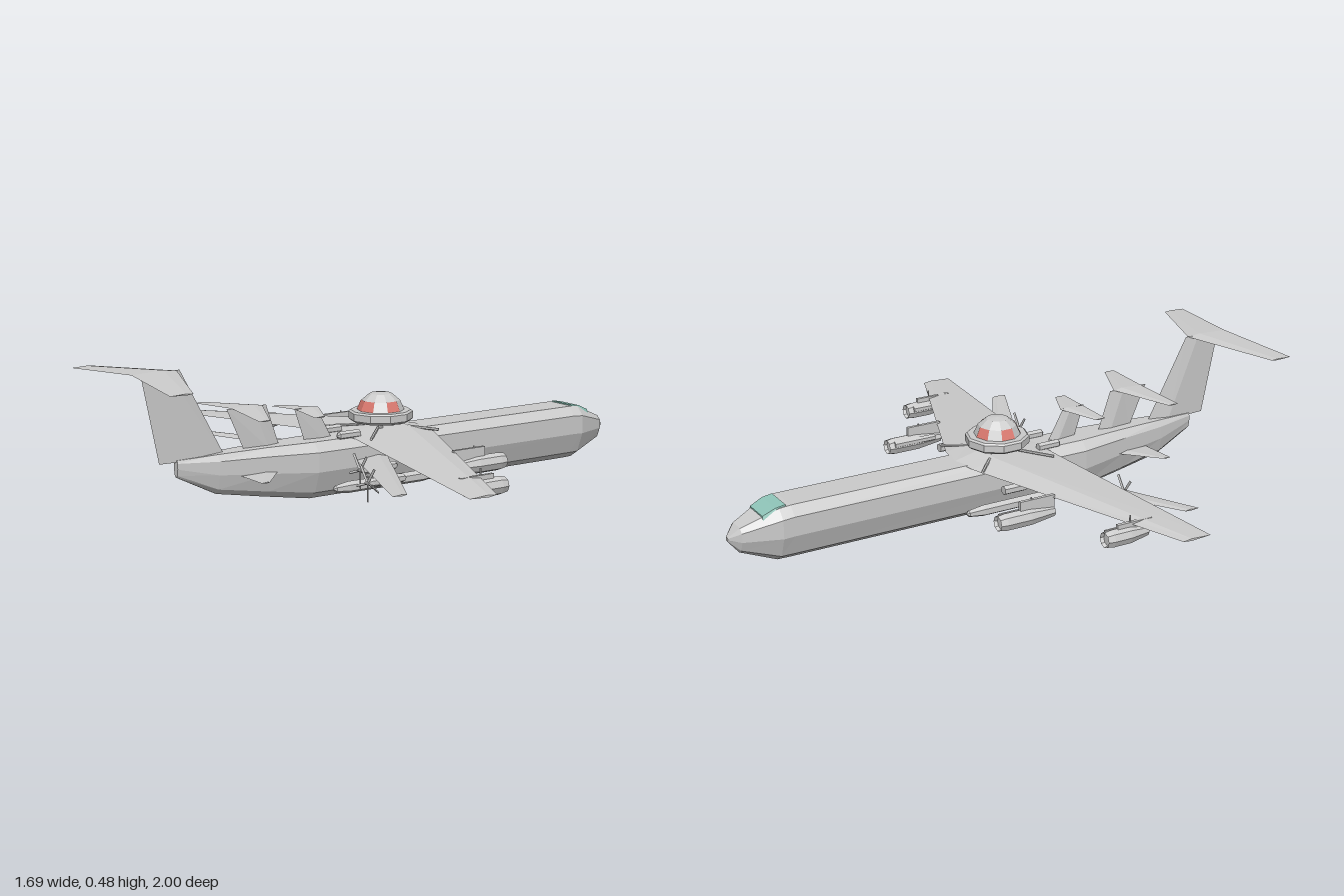
import * as THREE from 'three';

const mat = (color, side = THREE.FrontSide) =>
  new THREE.MeshStandardMaterial({ color, flatShading: true, side });
const grey = mat(0xcccccc);
const glass = mat(0x8fc4b8);
const red = mat(0xdd7a70, THREE.DoubleSide);

// Closed skin through a list of equal-sized rings, turned to face outwards
function loft(rings) {
  const tris = [], n = rings[0].length;
  for (let i = 0; i + 1 < rings.length; i++) {
    for (let j = 0; j < n; j++) {
      const k = (j + 1) % n, a = rings[i], b = rings[i + 1];
      tris.push([a[j], a[k], b[k]], [a[j], b[k], b[j]]);
    }
  }
  const first = rings[0], last = rings[rings.length - 1];
  for (let j = 1; j + 1 < n; j++) {
    tris.push([first[0], first[j + 1], first[j]], [last[0], last[j], last[j + 1]]);
  }
  let volume = 0;
  const v = p => new THREE.Vector3(...p);
  for (const [a, b, c] of tris) volume += v(a).dot(v(b).cross(v(c)));
  if (volume < 0) tris.forEach(t => t.reverse());
  const geo = new THREE.BufferGeometry();
  geo.setAttribute('position', new THREE.Float32BufferAttribute(tris.flat(2), 3));
  geo.computeVertexNormals();
  return geo;
}

// Hull ring: half width, bottom, top
function hullRing([z, w, y0, y1]) {
  const half = [[0.66, 1], [1, 0.84], [1, 0.5], [0.7, 0.13], [0.28, 0]];
  const both = [...half, ...half.slice().reverse().map(([x, y]) => [-x, y])];
  return both.map(([x, y]) => [x * w, y0 + y * (y1 - y0), z]);
}

// Horizontal surface; stations are [x, y, leading z, trailing z, thickness]
function wing(stations, side) {
  return loft(stations.map(([x, y, l, t, h]) => [
    [x * side, y, l], [x * side, y + h / 2, l + (t - l) * 0.3],
    [x * side, y, t], [x * side, y - h / 2, l + (t - l) * 0.3]]));
}

// Upright surface; stations are [y, leading z, trailing z, thickness]
function fin(stations) {
  return loft(stations.map(([y, l, t, h]) => [
    [0, y, l], [h / 2, y, l + (t - l) * 0.35], [0, y, t], [-h / 2, y, l + (t - l) * 0.35]]));
}

// Round body along z from [radius, z] pairs
function spindle(profile, sides = 8) {
  const pts = profile.map(([r, z]) => new THREE.Vector2(r, z));
  return new THREE.LatheGeometry(pts, sides).rotateX(Math.PI / 2);
}

function rod(a, b, r) {
  const p = new THREE.Vector3(...a), q = new THREE.Vector3(...b), d = q.clone().sub(p);
  const geo = new THREE.CylinderGeometry(r, r, d.length(), 6);
  geo.applyQuaternion(new THREE.Quaternion().setFromUnitVectors(
    new THREE.Vector3(0, 1, 0), d.normalize()));
  return geo.translate(...p.add(q).multiplyScalar(0.5).toArray());
}

export function createModel() {
  const model = new THREE.Group();
  model.name = 'aircraft';
  const add = (name, geo, material = grey, parent = model) => {
    const mesh = new THREE.Mesh(geo, material);
    mesh.name = name;
    parent.add(mesh);
    return mesh;
  };

  // Fuselage, nose at -z
  add('fuselage', loft([
    [-1, 0.008, 0.092, 0.106], [-0.965, 0.043, 0.05, 0.14], [-0.84, 0.088, 0.001, 0.192],
    [-0.8, 0.088, 0, 0.196], [0.31, 0.086, 0, 0.196], [0.48, 0.063, 0.028, 0.196],
    [0.66, 0.038, 0.06, 0.192], [0.8, 0.012, 0.13, 0.186]].map(hullRing)));
  add('windscreen', loft([[-0.895, 0.057, 0.174], [-0.85, 0.062, 0.194], [-0.815, 0.062, 0.199]]
    .map(([z, w, y]) => [[w * 0.85, y, z], [w, y - 0.022, z], [-w, y - 0.022, z], [-w * 0.85, y, z]])), glass);

  // Three T-tails, growing towards the rear
  const tails = [
    { fin: [[0.185, 0.2, 0.31, 0.02], [0.302, 0.265, 0.35, 0.01]],
      stab: [[0, 0.3, 0.255, 0.345, 0.008], [0.13, 0.293, 0.315, 0.355, 0.004]] },
    { fin: [[0.185, 0.41, 0.545, 0.022], [0.33, 0.46, 0.61, 0.012]],
      stab: [[0, 0.33, 0.475, 0.59, 0.01], [0.2, 0.32, 0.57, 0.61, 0.004]] },
    { fin: [[0.18, 0.62, 0.86, 0.026], [0.476, 0.78, 0.92, 0.014]],
      stab: [[0, 0.474, 0.79, 0.95, 0.012], [0.32, 0.459, 0.915, 0.995, 0.005]] },
  ];
  for (const t of tails) {
    add('tailFin', fin(t.fin));
    for (const s of [-1, 1]) add('tailplane', wing(t.stab, s));
  }

  // Everything mirrored left and right
  for (const s of [-1, 1]) {
    add('mainWing', wing([[0, 0.196, -0.165, 0.16, 0.045], [0.09, 0.193, -0.15, 0.165, 0.04],
      [0.845, 0.15, 0.175, 0.28, 0.008]], s));
    add('lowerWing', wing([[0.03, 0.12, 0, 0.135, 0.02], [0.62, 0.131, 0.345, 0.4, 0.006]], s));
    add('lowerTailplane', wing([[0.03, 0.115, 0.43, 0.585, 0.012], [0.185, 0.118, 0.565, 0.595, 0.004]], s));

    // Landing gear pod
    add('gearPod', spindle([[0, -0.175], [0.012, -0.165], [0.02, -0.11], [0.02, 0.2],
      [0.012, 0.25], [0, 0.26]], 6)).position.set(0.092 * s, 0.036, 0);

    // Twin-tube jets under the main wing
    for (const [x, z, len, wingY] of [[0.385, -0.225, 0.21, 0.178], [0.665, 0, 0.16, 0.162]]) {
      const jet = new THREE.Group();
      jet.name = 'jetEngine';
      jet.position.set(x * s, 0.125, z);
      add('nacelle', spindle([[0, 0.012], [0.022, 0.012], [0.026, 0], [0.03, 0.025],
        [0.03, len * 0.55], [0.018, len], [0, len - 0.015]]), grey, jet);
      add('sideTube', spindle([[0, 0.02], [0.012, 0.02], [0.012, len * 0.85], [0, len * 0.85]], 6), grey, jet)
        .position.set(-0.022 * s, 0.012, 0);
      add('pylon', new THREE.BoxGeometry(0.012, wingY - 0.125, 0.13), grey, jet)
        .position.set(0, (wingY - 0.125) / 2 + 0.006, len * 0.7);
      add('mast', rod([0, 0, len * 0.6], [0, 0.065, len * 0.6], 0.003), grey, jet);
      model.add(jet);
    }

    // Propeller pods on the lower wing
    for (const [x, z] of [[0.17, 0.11], [0.34, 0.2]]) {
      const pod = new THREE.Group();
      pod.name = 'propellerPod';
      pod.position.set(x * s, 0.108, z);
      add('podBody', spindle([[0, -0.06], [0.014, -0.045], [0.018, 0], [0.014, 0.08], [0, 0.11]], 6), grey, pod);
      for (let i = 0; i < 5; i++) {
        const blade = new THREE.BoxGeometry(0.008, 0.062, 0.003).rotateY(0.5).translate(0, 0.031, 0.095);
        add('blade', blade.rotateZ(Math.PI + i * Math.PI * 0.4), grey, pod);
      }
      model.add(pod);
    }

    // Small tubes at the wing roots
    add('rootTube', spindle([[0, -0.03], [0.014, -0.03], [0.014, 0.05], [0, 0.06]], 6))
      .position.set(0.055 * s, 0.205, 0.16);
    add('leadingTube', spindle([[0, -0.04], [0.016, -0.04], [0.016, 0.04], [0, 0.06]], 6))
      .position.set(0.22 * s, 0.155, -0.065);

    // Dish legs and diagonal barrels
    for (const f of [-1, 1]) {
      add('dishLeg', rod([0.035 * s, 0.18, 0.025 * f], [0.035 * s, 0.23, 0.025 * f], 0.009));
      add('barrel', rod([0.04 * s, 0.212, 0.04 * f], [0.142 * s, 0.2, 0.14 * f], 0.005));
    }
  }

  // Dish with a faceted dome and tinted panes
  const v2 = list => list.map(([r, y]) => new THREE.Vector2(r, y));
  add('dish', new THREE.LatheGeometry(v2([[0, 0.226], [0.1, 0.226], [0.11, 0.234],
    [0.11, 0.258], [0.103, 0.264], [0.08, 0.264], [0.066, 0.297], [0.038, 0.32], [0, 0.325]]), 10));
  const step = Math.PI / 5;
  for (const i of [0, 2, 5, 7, 9]) {
    add('domePane', new THREE.LatheGeometry(v2([[0.081, 0.265], [0.067, 0.298]]), 1, i * step, step), red);
  }
  return model;
}
